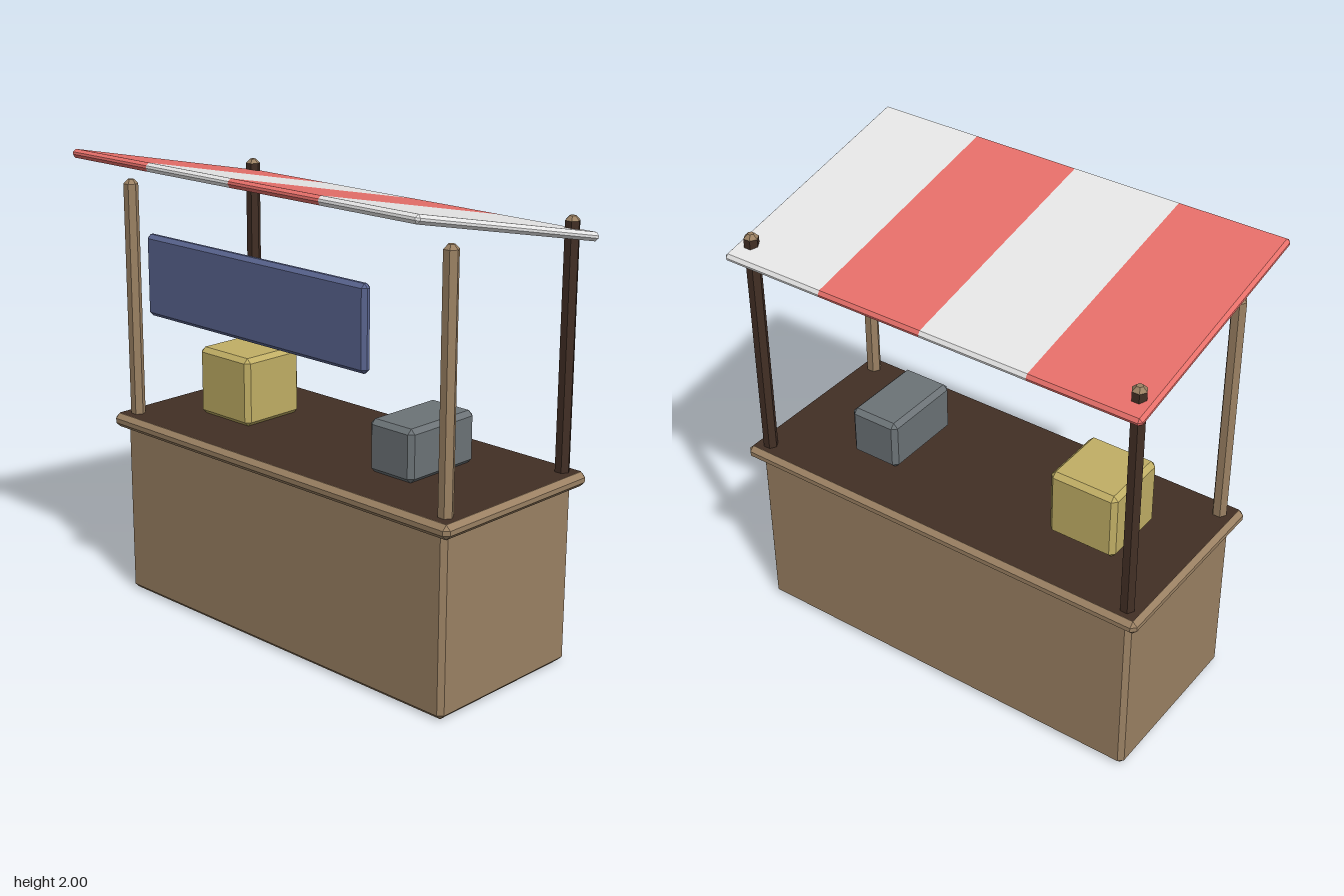
import * as THREE from 'three';
import { ConvexGeometry } from 'three/addons/geometries/ConvexGeometry.js';

function material(name, color) {
  const m = new THREE.MeshStandardMaterial({ color });
  m.name = name;
  return m;
}

// Chamfered box between two corners; the x ends can be left square so pieces butt together
function chamferBox(min, max, b, squareLeft = false, squareRight = false) {
  const c = min.map((v, i) => (v + max[i]) / 2);
  const h = min.map((v, i) => (max[i] - v) / 2);
  const points = [];
  for (const sx of [-1, 1]) for (const sy of [-1, 1]) for (const sz of [-1, 1]) {
    const add = (x, y, z) =>
      points.push(new THREE.Vector3(c[0] + sx * x, c[1] + sy * y, c[2] + sz * z));
    const square = sx < 0 ? squareLeft : squareRight;
    const x = square ? h[0] : h[0] - b;
    add(x, h[1], h[2] - b);
    add(x, h[1] - b, h[2]);
    if (!square) add(h[0], h[1] - b, h[2] - b);
  }
  return new ConvexGeometry(points);
}

export function createModel() {
  const model = new THREE.Group();
  model.name = 'marketStall';

  const wood = material('wood', 0x9b8163);
  const darkWood = material('dark wood', 0x422f25);
  const red = material('red cloth', 0xe8706a);
  const white = material('white cloth', 0xeeeeee);
  const blue = material('blue sign', 0x5a6590);
  const yellow = material('yellow crate', 0xc1af65);
  const grey = material('grey box', 0x6c7377);

  const add = (name, geometry, mat, parent = model) => {
    const mesh = new THREE.Mesh(geometry, mat);
    mesh.name = name;
    parent.add(mesh);
    return mesh;
  };

  // Counter body, its overhanging slab and the dark work surface
  add('counterBody', chamferBox([-0.92, 0, -0.46], [0.92, 0.78, 0.31], 0.02), wood);
  add('counterSlab', chamferBox([-0.965, 0.76, -0.5], [0.965, 0.82, 0.35], 0.02), wood);
  const surface = add('counterSurface', new THREE.PlaneGeometry(1.89, 0.81), darkWood);
  surface.rotation.x = -Math.PI / 2;
  surface.position.set(0, 0.8215, -0.075);

  // Six-sided posts with tapered tips; the rear ones poke through the canopy
  const r = 0.0315, tip = 0.018, base = 0.8, top = 1.85;
  const shaftGeo = new THREE.CylinderGeometry(r, r, top - tip - base, 6).toNonIndexed();
  const tipGeo = new THREE.CylinderGeometry(r - tip, r, tip, 6).toNonIndexed();
  for (const g of [shaftGeo, tipGeo]) {
    g.rotateY(Math.PI / 6);
    g.computeVertexNormals();
  }
  for (const [row, z, mat] of [['front', 0.27, wood], ['rear', -0.43, darkWood]]) {
    for (const side of [-1, 1]) {
      const post = new THREE.Group();
      post.name = row + (side > 0 ? 'Left' : 'Right') + 'Post';
      post.position.set(side * 0.889, 0, z);
      add('postShaft', shaftGeo, mat, post).position.y = (base + top - tip) / 2;
      add('postTip', tipGeo, wood, post).position.y = top - tip / 2;
      model.add(post);
    }
  }

  // Sloping striped canopy
  const canopy = new THREE.Group();
  canopy.name = 'canopy';
  const half = 0.955, stripe = half / 2;
  for (let i = 0; i < 4; i++) {
    const x = -half + i * stripe;
    const geo = chamferBox([x, -0.018, -0.535], [x + stripe, 0.018, 0.535], 0.013, i > 0, i < 3);
    add('canopyStripe' + (i + 1), geo, i % 2 ? white : red, canopy);
  }
  canopy.position.y = 1.872;
  canopy.rotation.x = -0.21;
  model.add(canopy);

  // Blank sign board hanging in front
  add('signBoard', chamferBox([-0.615, 1.34, 0.38], [0.615, 1.68, 0.425], 0.016), blue);

  // Goods on the counter
  add('crate', chamferBox([-0.697, 0.82, -0.23], [-0.39, 1.12, 0.08], 0.02), yellow);
  add('cashBox', chamferBox([0.345, 0.82, -0.265], [0.575, 1.042, 0.115], 0.02), grey);

  return model;
}
